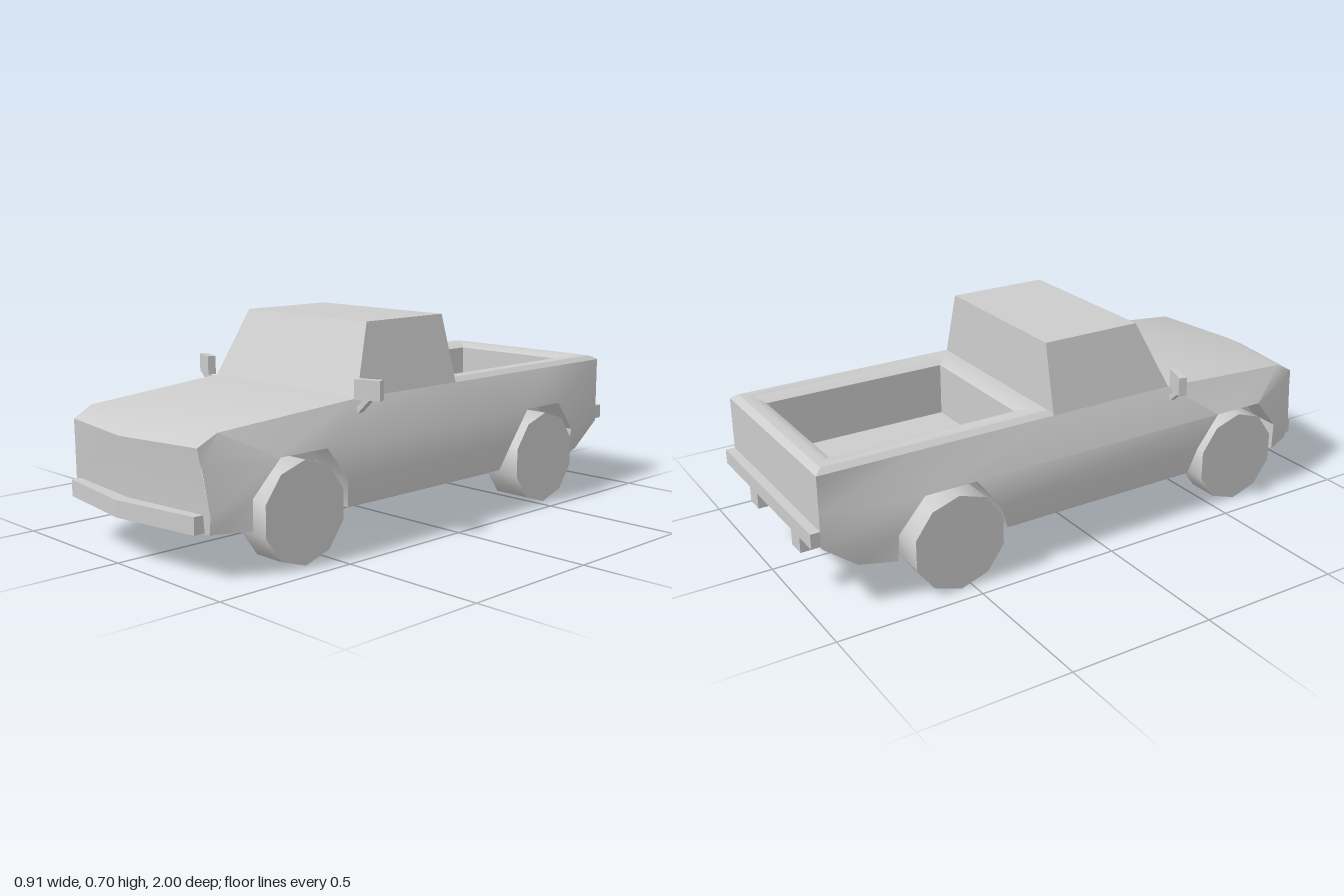
import * as THREE from 'three';
import { toCreasedNormals } from 'three/addons/utils/BufferGeometryUtils.js';

const material = new THREE.MeshStandardMaterial({ color: 0xcccccc });

function add(parent, name, geometry) {
  const mesh = new THREE.Mesh(geometry, material);
  mesh.name = name;
  parent.add(mesh);
  return mesh;
}

// Geometry from four-cornered panels, optionally mirrored across x = 0
function panels(quads, mirror = false) {
  const all = [...quads];
  if (mirror) for (const q of quads) all.push([...q].reverse().map(([x, y, z]) => [-x, y, z]));
  const pos = [];
  for (const [a, b, c, d] of all) pos.push(...a, ...b, ...c, ...a, ...c, ...d);
  const g = new THREE.BufferGeometry();
  g.setAttribute('position', new THREE.Float32BufferAttribute(pos, 3));
  return toCreasedNormals(g, 0.5);
}

// Stacked rectangles [half width, front z, rear z, y]; the last one is closed
function rings(list) {
  const loops = list.map(([x, f, r, y]) => [[x, y, f], [x, y, r], [-x, y, r], [-x, y, f]]);
  const quads = [loops[loops.length - 1]];
  for (let k = 0; k + 1 < loops.length; k++)
    for (let i = 0; i < 4; i++) {
      const j = (i + 1) % 4;
      quads.push([loops[k][i], loops[k][j], loops[k + 1][j], loops[k + 1][i]]);
    }
  return panels(quads);
}

// Side stations from rear to nose: shoulder, belt, sill crease, sill bottom
const shoulder = [[.355, .465, -.968], [.355, .465, -.646], [.355, .465, -.13],
  [.355, .465, .33], [.33, .425, .865], [.325, .388, .935]];
const belt = [[.355, .34, -.968], [.415, .34, -.646], [.415, .34, -.464],
  [.415, .34, .512], [.415, .34, .70], [.333, .335, .928]];
const crease = [[.355, .225, -.968], [.41, .23, -.737], [.415, .23, -.378],
  [.415, .23, .426], [.402, .23, .796], [.355, .19, .915]];
const sill = [[.35, .132, -.85], [.395, .132, -.737], [.392, .132, -.34],
  [.392, .132, .405], [.4, .132, .796], [.345, .132, .912]];
const WELL = .3;
const at = (x, [, y, z]) => [x, y, z];

function addBody(group) {
  const sides = [], wells = [], floor = [];
  for (let i = 0; i < 5; i++) {
    const j = i + 1;
    sides.push([belt[j], belt[i], shoulder[i], shoulder[j]]);
    const solid = i % 2 === 0;
    if (solid) {
      sides.push([crease[j], crease[i], belt[i], belt[j]]);
      sides.push([sill[j], sill[i], crease[i], crease[j]]);
    } else {
      // Arch lining and inner wall
      const arch = [sill[i], crease[i], belt[i], belt[j], crease[j], sill[j]];
      const inner = arch.map(p => at(WELL, p));
      for (let k = 0; k < 5; k++) wells.push([arch[k], arch[k + 1], inner[k + 1], inner[k]]);
      wells.push([inner[5], inner[0], inner[1], inner[4]], [inner[4], inner[1], inner[2], inner[3]]);
    }
    const o = [sill[i], sill[j]].map(p => solid ? p : at(WELL, p));
    floor.push([o[0], o[1], [0, .132, j === 5 ? .955 : sill[j][2]], at(0, sill[i])]);
  }
  add(group, 'bodySides', panels(sides, true));
  add(group, 'wheelWells', panels(wells, true));
  add(group, 'underbody', panels(floor, true));

  // Hood, sloping to a shallow pointed nose
  const hoodEdge = [0, .425, .905], noseTop = [0, .385, .982], noseLow = [0, .19, .955];
  add(group, 'hood', panels([
    [hoodEdge, shoulder[4], shoulder[3], at(0, shoulder[3])],
    [noseTop, shoulder[5], shoulder[4], hoodEdge]], true));
  add(group, 'grille', panels([
    [noseLow, crease[5], shoulder[5], noseTop],
    [[0, .132, .955], sill[5], crease[5], noseLow]], true));
  add(group, 'tailgate', panels([
    [crease[0], at(0, crease[0]), at(0, shoulder[0]), shoulder[0]],
    [sill[0], at(0, sill[0]), at(0, crease[0]), crease[0]]], true));
}

export function createModel() {
  const group = new THREE.Group();
  group.name = 'pickupTruck';
  addBody(group);

  add(group, 'cab', rings([[.355, .33, -.14, .465], [.295, .228, -.132, .695]]));

  // Raised bed rim, bevelled inwards, with a sunken floor
  add(group, 'cargoBed', rings([
    [.355, -.13, -.968, .465], [.335, -.15, -.945, .48], [.29, -.185, -.912, .48],
    [.25, -.225, -.88, .463], [.25, -.225, -.88, .28]]));

  // Front bumper follows the nose
  const outline = new THREE.Shape([[-.325, .9], [.325, .9], [.325, .952], [0, 1], [-.325, .952]]
    .map(([x, z]) => new THREE.Vector2(x, z)));
  const front = new THREE.ExtrudeGeometry(outline, { depth: .055, bevelEnabled: false });
  front.rotateX(Math.PI / 2).translate(0, .19, 0);
  add(group, 'frontBumper', front);

  add(group, 'rearBumper', new THREE.BoxGeometry(.71, .05, .036).translate(0, .258, -.982));

  for (const s of [1, -1]) {
    const side = s > 0 ? 'left' : 'right';

    add(group, side + 'RearBracket', new THREE.BoxGeometry(.065, .06, .12)
      .translate(s * .175, .175, -.918));

    // Ten-sided wheels; the rear pair stands further out
    for (const [name, z, inner, outer] of [['FrontWheel', .606, .305, .418], ['RearWheel', -.539, .302, .437]]) {
      const tyre = new THREE.CylinderGeometry(.164, .164, outer - inner, 10);
      tyre.rotateY(Math.PI / 2).rotateZ(Math.PI / 2);
      const wheel = add(group, side + name, toCreasedNormals(tyre, .8));
      wheel.position.set(s * (inner + outer) / 2, .156, z);
    }

    // Door mirror, outer end swept back, on a slanted arm
    const mirror = new THREE.Group();
    mirror.name = side + 'Mirror';
    const head = add(mirror, 'mirrorHead', new THREE.BoxGeometry(.09, .065, .028));
    head.position.set(s * .408, .498, .33);
    head.rotation.y = s * .33;
    const arm = add(mirror, 'mirrorArm', new THREE.BoxGeometry(.08, .018, .022));
    arm.position.set(s * .388, .445, .335);
    arm.rotation.z = s * .75;
    group.add(mirror);
  }
  return group;
}
